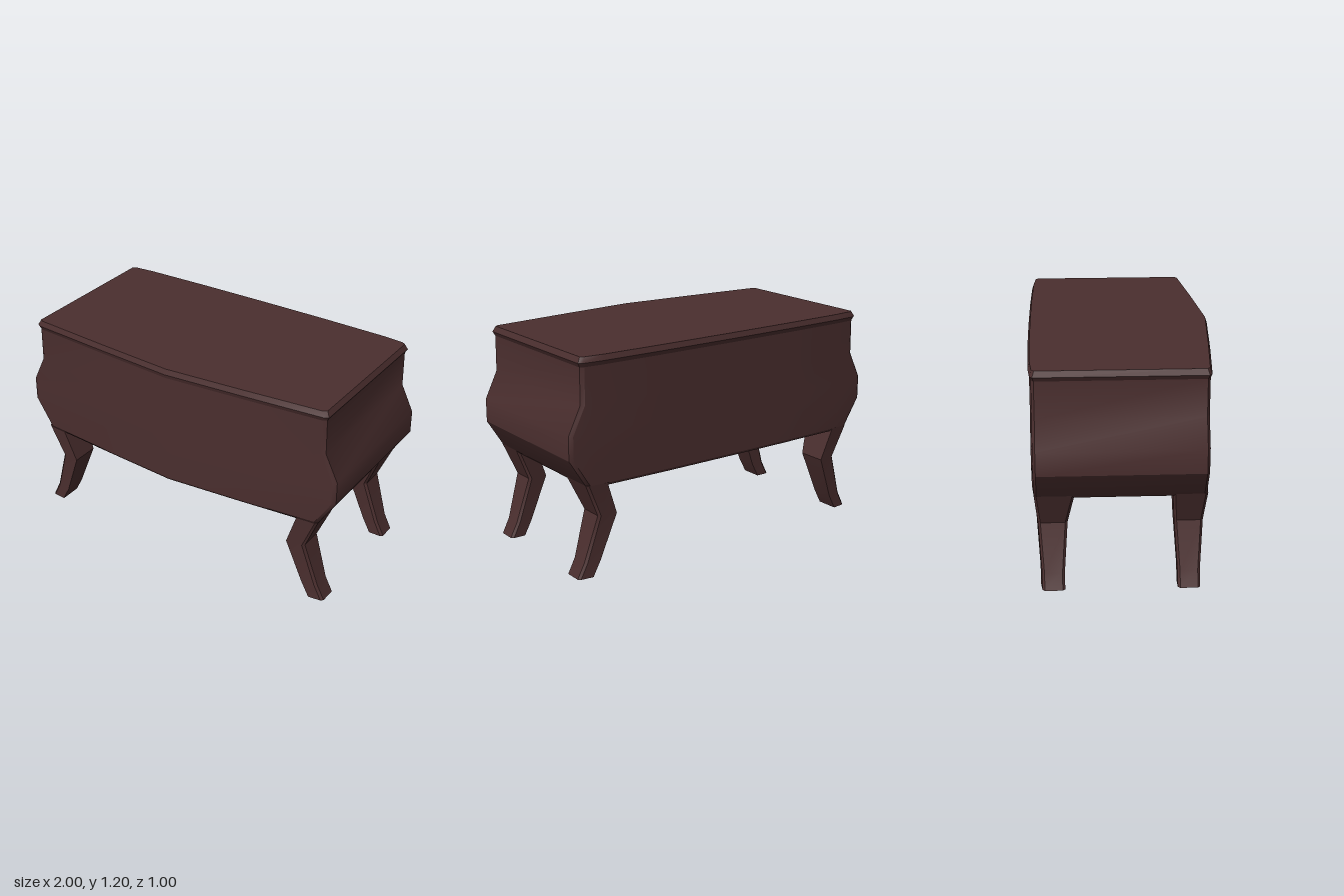
import * as THREE from 'three';
import { toCreasedNormals } from 'three/addons/utils/BufferGeometryUtils.js';

// Closed loft through rings of [x, y, z] points, listed bottom to top
function loft(rings) {
  const n = rings[0].length, idx = [];
  for (let i = 0; i < rings.length - 1; i++) {
    for (let j = 0; j < n; j++) {
      const k = (j + 1) % n;
      const a = i * n + j, b = i * n + k, c = b + n, d = a + n;
      idx.push(a, b, c, a, c, d);
    }
  }
  const top = (rings.length - 1) * n;
  for (let j = 1; j < n - 1; j++) idx.push(0, j + 1, j, top, top + j, top + j + 1);
  const geo = new THREE.BufferGeometry();
  geo.setAttribute('position', new THREE.Float32BufferAttribute(rings.flat(2), 3));
  geo.setIndex(idx);
  return toCreasedNormals(geo, THREE.MathUtils.degToRad(30));
}

// Plan outline: bowed front, gently curved back, chamfered corners; d grows the depth
function planRing(y, w, d = 0) {
  const half = [
    [0, 0.493], [0.5 * w, 0.457], [w - 0.02, 0.417], [w, 0.403],
    [w, -0.46], [w - 0.02, -0.474], [0.85 * w, -0.484], [0.45 * w, -0.491], [0, -0.493],
  ];
  const mirrored = half.slice(1, -1).reverse().map(([x, z]) => [-x, z]);
  return [...half, ...mirrored].map(([x, z]) => [x, y, z + Math.sign(z) * d]);
}

// Leg section: chamfered outer edges, front face angled to follow the carcass
function legRing([y, xi, xo, zi, zo], sx, sz) {
  const c = 0.013;
  const ring = [
    [xi, zo], [xo - c, zo - 0.008], [xo, zo - 0.008 - c],
    [xo, zi + c], [xo - c, zi], [xi, zi],
  ].map(([x, z]) => [sx * x, y, sz * z]);
  return sx * sz < 0 ? ring.reverse() : ring;
}

export function createModel() {
  const group = new THREE.Group();
  group.name = 'chest';
  const wood = new THREE.MeshStandardMaterial({ color: 0x4a2e2e });
  wood.name = 'dark wood';

  const add = (name, geo) => {
    const mesh = new THREE.Mesh(geo, wood);
    mesh.name = name;
    group.add(mesh);
  };

  // Bombe carcass with a small bevel under it
  const profile = [
    [0.505, 0.89, -0.01], [0.52, 0.905, 0], [0.67, 1, 0],
    [0.8, 1, 0], [0.95, 0.927, 0], [1.15, 0.925, 0],
  ];
  add('body', loft(profile.map((p) => planRing(...p))));

  // Lid with a bevelled lip
  const lid = [[1.145, 0.924, -0.001], [1.17, 0.938, 0.007], [1.2, 0.922, -0.003]];
  add('lid', loft(lid.map((p) => planRing(...p))));

  // Cabriole legs: y, inner x, outer x, inner z, outer z
  const frontLeg = [
    [0, 0.86, 0.945, 0.27, 0.396], [0.085, 0.815, 0.902, 0.27, 0.397],
    [0.335, 0.72, 0.825, 0.255, 0.415], [0.52, 0.785, 0.905, 0.24, 0.43],
  ];
  const backLeg = [
    [0, 0.86, 0.945, 0.32, 0.447], [0.085, 0.815, 0.902, 0.32, 0.448],
    [0.335, 0.72, 0.825, 0.302, 0.465], [0.52, 0.785, 0.905, 0.265, 0.482],
  ];
  for (const [side, sx] of [['Left', 1], ['Right', -1]]) {
    add('front' + side + 'Leg', loft(frontLeg.map((r) => legRing(r, sx, 1))));
    add('back' + side + 'Leg', loft(backLeg.map((r) => legRing(r, sx, -1))));
  }
  return group;
}
